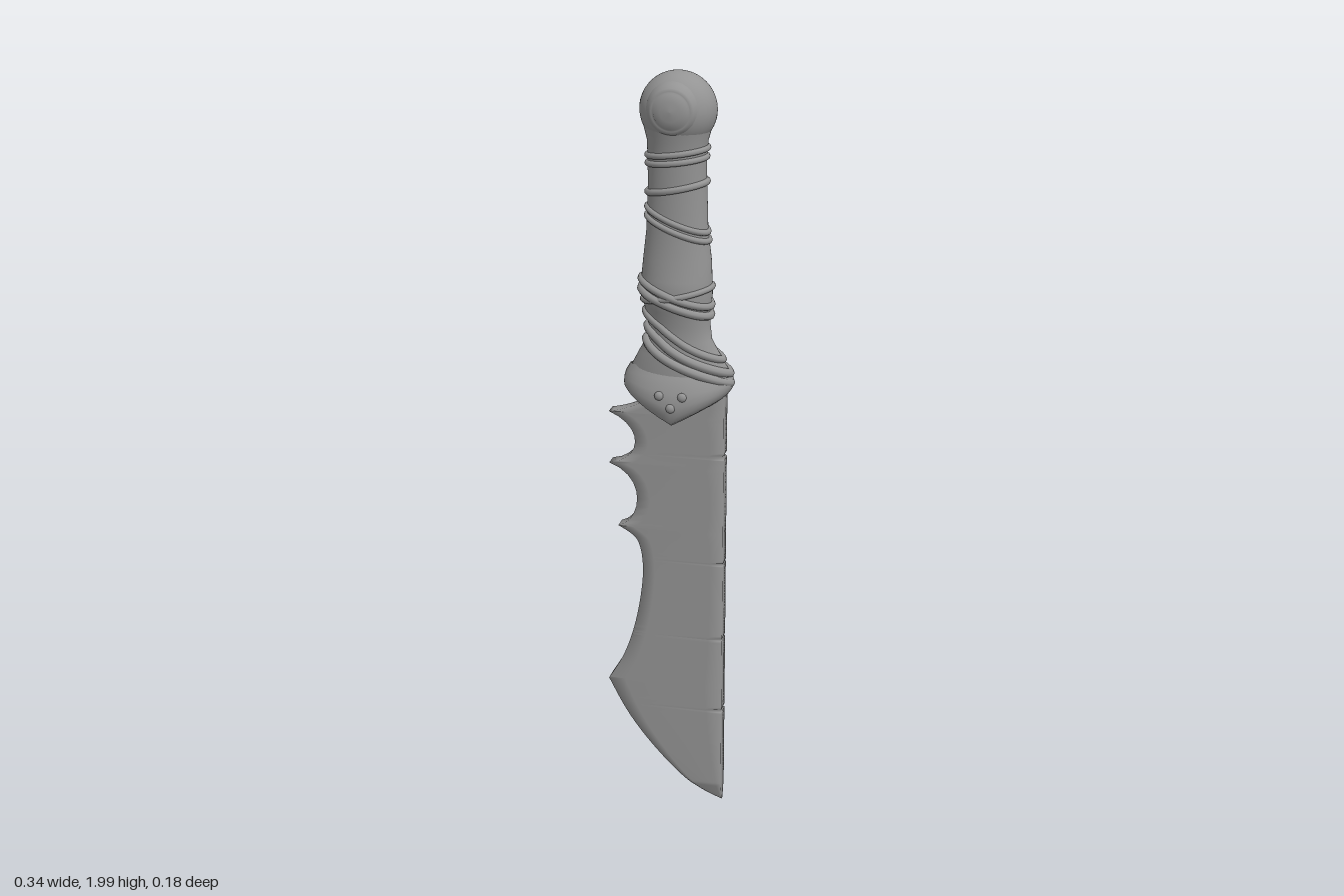
import * as THREE from 'three';
import { toCreasedNormals } from 'three/addons/utils/BufferGeometryUtils.js';

const material = new THREE.MeshStandardMaterial({ color: 0x949494, side: THREE.DoubleSide });

// Grip stations: y, left edge x, right edge x, half depth, pointedness of the ends
const GRIP = [
  [1.16, -0.1, 0.135, 0.055, 0.4], [1.2, -0.11, 0.155, 0.058, 0.4], [1.24, -0.105, 0.152, 0.058, 0.35],
  [1.28, -0.085, 0.128, 0.055, 0.25], [1.32, -0.062, 0.105, 0.052, 0.1], [1.36, -0.061, 0.1, 0.053, 0],
  [1.4, -0.069, 0.101, 0.063, 0], [1.44, -0.077, 0.105, 0.072, 0], [1.48, -0.077, 0.104, 0.068, 0],
  [1.53, -0.072, 0.102, 0.06, 0], [1.6, -0.064, 0.093, 0.055, 0], [1.7, -0.06, 0.09, 0.055, 0],
  [1.78, -0.06, 0.088, 0.057, 0], [1.83, -0.062, 0.092, 0.061, 0], [1.88, -0.074, 0.106, 0.073, 0],
];

function station(y) {
  let i = 0;
  while (i < GRIP.length - 2 && y > GRIP[i + 1][0]) i++;
  const a = GRIP[i], b = GRIP[i + 1];
  const t = THREE.MathUtils.clamp((y - a[0]) / (b[0] - a[0]), 0, 1);
  return a.map((v, k) => v + (b[k] - v) * t);
}

// Point on an oval section whose ends can be pinched to a lens
function sectionPoint([y, xl, xr, depth, pinch], angle) {
  const s = Math.sin(angle);
  return new THREE.Vector3(
    (xl + xr) / 2 + (xr - xl) / 2 * Math.cos(angle), y, depth * s * Math.pow(Math.abs(s), pinch));
}

// Smooth skin over closed rings from bottom to top; the lowest ring can be closed with strips
function skin(rings, closeBottom) {
  const n = rings[0].length, idx = [];
  for (let j = 0; j < rings.length - 1; j++) {
    for (let i = 0; i < n; i++) {
      const a = j * n + i, b = j * n + (i + 1) % n;
      idx.push(a, a + n, b, b, a + n, b + n);
    }
  }
  for (let i = 1; closeBottom && i <= n / 2; i++) {
    idx.push(i, i - 1, n - i, i - 1, (n - i + 1) % n, n - i);
  }
  const g = new THREE.BufferGeometry().setFromPoints(rings.flat());
  g.setIndex(idx);
  g.computeVertexNormals();
  return g;
}

const ANGLES = Array.from({ length: 48 }, (_, i) => i / 48 * Math.PI * 2);

// Tilted cord that hugs the grip, given its heights at the left and right edges
function cord(yLeft, yRight, radius) {
  const pts = ANGLES.map(a => {
    const y = (yLeft + yRight) / 2 + (yRight - yLeft) / 2 * Math.cos(a);
    return sectionPoint(station(y), a);
  });
  return new THREE.TubeGeometry(new THREE.CatmullRomCurve3(pts, true), 90, radius, 8, true);
}

function bladeGeometry() {
  const spine = 0.142, vectors = list => list.map(p => new THREE.Vector2(...p));
  // Cutting edge from the tip upwards: curved tip, hollow belly, three hooked teeth
  const edge = new THREE.Path();
  edge.moveTo(spine, 0.006);
  edge.splineThru(vectors([[0.09, 0.032], [0.02, 0.085], [-0.06, 0.17], [-0.12, 0.252], [-0.17, 0.345]]));
  edge.splineThru(vectors([[-0.13, 0.415], [-0.1, 0.5], [-0.08, 0.6], [-0.074, 0.69], [-0.09, 0.76], [-0.14, 0.795]]));
  edge.bezierCurveTo(-0.08, 0.81, -0.055, 0.935, -0.163, 0.97);
  edge.bezierCurveTo(-0.075, 0.985, -0.065, 1.075, -0.163, 1.112);
  edge.quadraticCurveTo(-0.12, 1.12, -0.08, 1.14);
  edge.lineTo(-0.08, 1.18);
  const pts = edge.getPoints(10);
  const edgeX = y => {
    const k = Math.max(1, pts.findIndex(p => p.y >= y));
    const a = pts[k - 1], b = pts[k];
    return THREE.MathUtils.mapLinear(y, a.y, b.y, a.x, b.x);
  };
  // Worn notches along the spine
  const notches = [1.01, 0.71, 0.49, 0.28];
  const heights = pts.map(p => p.y).concat(notches.flatMap(y => [y - 0.008, y, y + 0.012]))
    .sort((a, b) => a - b).filter((y, i, all) => i === 0 || y - all[i - 1] > 1e-4);
  const rings = heights.map(y => {
    const xl = edgeX(y), notch = notches.includes(y);
    const xr = notch ? spine - 0.004 : spine;
    const depth = 0.022 * THREE.MathUtils.clamp(0.2 + y / 0.07, 0.2, 1);
    const front = [[1, notch ? 0.6 : 0.9], [0.85, 1], [0.15, 1], [0, 0.85]]
      .map(([f, d]) => new THREE.Vector3(xl + (xr - xl) * f, y, depth * d));
    const back = front.map(p => new THREE.Vector3(p.x, p.y, -p.z)).reverse();
    return [...front, ...back];
  });
  return skin(rings, false);
}

function guardGeometry() {
  // Lens-shaped stations, with the steepness of the V each one follows
  const rings = [
    [[1.1, -0.112, 0.137, 0.056, 0.25], 0.55], [[1.108, -0.12, 0.147, 0.072, 0.25], 0.52],
    [[1.125, -0.125, 0.153, 0.081, 0.25], 0.44], [[1.155, -0.126, 0.159, 0.085, 0.3], 0.28],
    [[1.19, -0.125, 0.164, 0.078, 0.35], 0.12], [[1.225, -0.12, 0.162, 0.063, 0.4], 0],
    [[1.245, -0.108, 0.15, 0.05, 0.4], 0],
  ].map(([st, slope]) => ANGLES.map(a => {
    const p = sectionPoint(st, a);
    p.y += slope * Math.abs(p.x - (st[1] + st[2]) / 2);
    return p;
  }));
  return toCreasedNormals(skin(rings, true), 0.9);
}

export function createModel() {
  const model = new THREE.Group();
  const add = (name, geometry, parent = model) => {
    const mesh = new THREE.Mesh(geometry, material);
    mesh.name = name;
    parent.add(mesh);
    return mesh;
  };

  add('blade', bladeGeometry());
  add('grip', skin(GRIP.map(st => ANGLES.map(a => sectionPoint(st, a))), true));
  add('guard', guardGeometry());

  // Cord wraps
  const wraps = new THREE.Group();
  wraps.name = 'cordWraps';
  model.add(wraps);
  [
    [1.79, 1.812, 0.008], [1.77, 1.79, 0.008], [1.697, 1.728, 0.009], [1.66, 1.6, 0.008], [1.638, 1.578, 0.008],
    [1.475, 1.41, 0.01], [1.45, 1.385, 0.011], [1.42, 1.46, 0.008],
    [1.39, 1.27, 0.01], [1.35, 1.235, 0.012], [1.315, 1.21, 0.012],
  ].forEach(([l, r, radius], i) => add('cord' + (i + 1), cord(l, r, radius), wraps));

  // Rounded pommel with a low domed stud on each side
  const pommel = add('pommel', new THREE.SphereGeometry(1, 40, 28));
  pommel.scale.set(0.097, 0.095, 0.079);
  pommel.position.set(0.017, 1.905, 0);
  const studProfile = [[0.07, 0.045], [0.064, 0.06], [0.056, 0.071], [0.049, 0.075], [0.046, 0.073], [0.043, 0.078], [0.025, 0.084], [0, 0.086]]
    .map(p => new THREE.Vector2(...p));
  for (const side of [1, -1]) {
    const word = side > 0 ? 'front' : 'back';
    const stud = add(word + 'Stud', new THREE.LatheGeometry(studProfile, 36));
    stud.rotation.x = side * Math.PI / 2;
    stud.position.set(0.015, 1.912, 0);
    // Small raised bumps on the guard
    for (const [x, y] of [[-0.015, 1.185], [0.045, 1.185], [0.016, 1.155]]) {
      const bump = add(word + 'GuardBump', new THREE.SphereGeometry(0.012, 16, 10));
      bump.scale.z = 0.7;
      bump.position.set(x, y, side * (y > 1.17 ? 0.077 : 0.083));
    }
  }
  return model;
}
